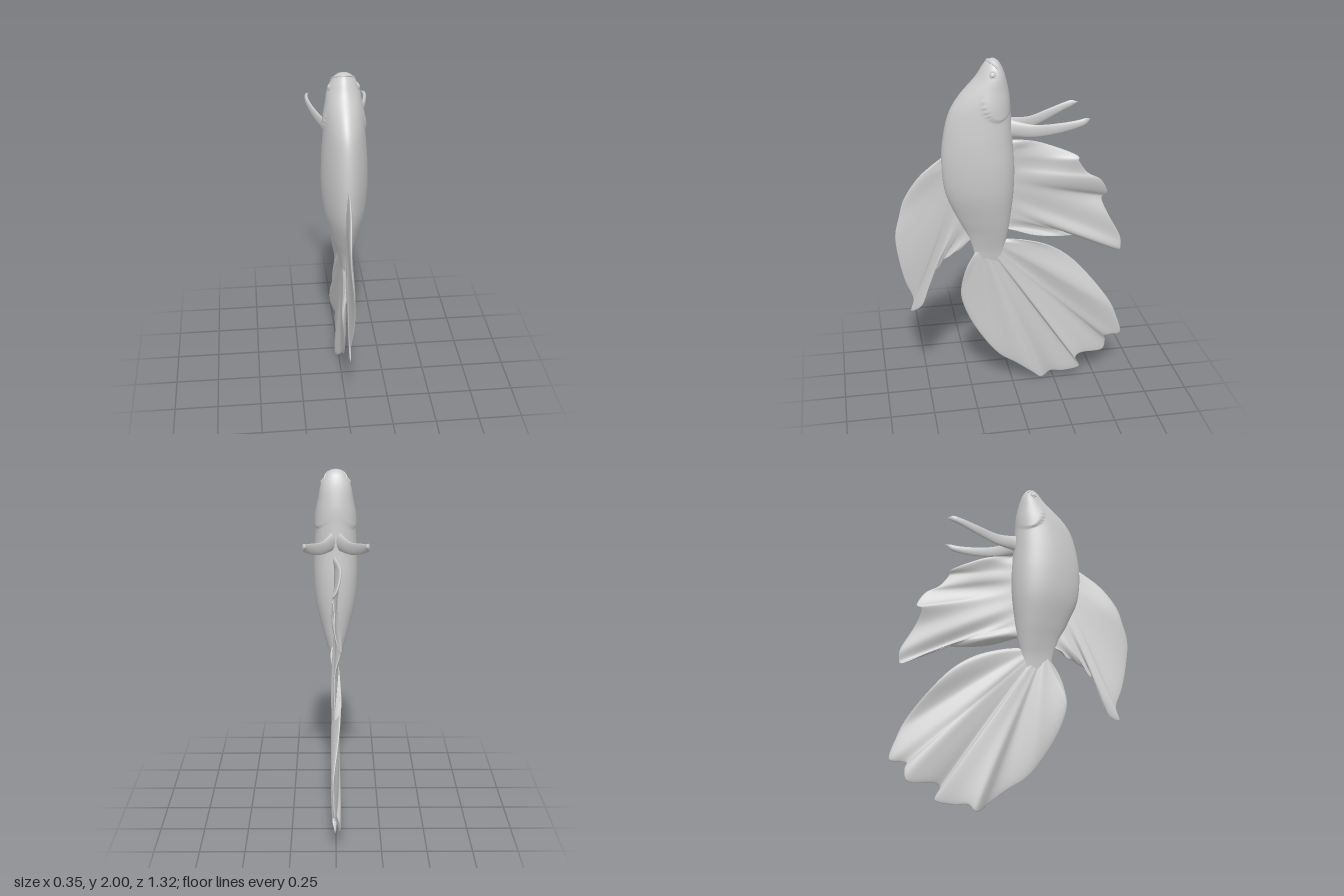
import * as THREE from 'three';
import { mergeVertices } from 'three/addons/utils/BufferGeometryUtils.js';

const grey = new THREE.MeshStandardMaterial({ color: 0xcccccc, side: THREE.DoubleSide });

// Smooth surface from a rule f(u, v) -> [x, y, z], turned to face outwards
function surface(nu, nv, f) {
  const pos = [], idx = [];
  for (let i = 0; i <= nu; i++)
    for (let j = 0; j <= nv; j++) pos.push(...f(i / nu, j / nv));
  for (let i = 0; i < nu; i++)
    for (let j = 0; j < nv; j++) {
      const a = i * (nv + 1) + j, b = a + nv + 1;
      idx.push(a, b, a + 1, b, b + 1, a + 1);
    }
  const P = (k) => new THREE.Vector3().fromArray(pos, k * 3);
  let volume = 0;
  for (let k = 0; k < idx.length; k += 3)
    volume += P(idx[k]).dot(P(idx[k + 1]).cross(P(idx[k + 2])));
  if (volume < 0) idx.reverse();
  let g = new THREE.BufferGeometry();
  g.setAttribute('position', new THREE.Float32BufferAttribute(pos, 3));
  g.setIndex(idx);
  g = mergeVertices(g, 1e-5);
  g.computeVertexNormals();
  return g;
}

function mesh(name, geometry) {
  const m = new THREE.Mesh(geometry, grey);
  m.name = name;
  return m;
}

const spline = (pts) => new THREE.SplineCurve(pts.map((p) => new THREE.Vector2(...p)));

// Body stations from snout to tail root: y, belly z, back z, half width
const stations = [
  [2.0, 0.11, 0.11, 0], [1.99, 0.085, 0.14, 0.032], [1.96, 0.062, 0.165, 0.06],
  [1.9, 0.04, 0.205, 0.085], [1.8, 0.02, 0.295, 0.1], [1.7, 0.013, 0.352, 0.108],
  [1.55, 0.004, 0.385, 0.119], [1.4, -0.006, 0.393, 0.122], [1.25, -0.002, 0.373, 0.11],
  [1.1, 0.015, 0.31, 0.077], [1.0, 0.03, 0.26, 0.05], [0.9, 0.05, 0.225, 0.024],
  [0.8, 0.06, 0.21, 0.008],
];
const sideCurve = spline(stations.map((s) => [s[0], s[3]]));
const depthCurve = spline(stations.map((s) => [s[1], s[2]]));

// Point on the body: t along the stations, a = 0 at the back, PI at the belly
function bodyPoint(t, a) {
  const s = sideCurve.getPoint(t), d = depthCurve.getPoint(t);
  const z = (d.x + d.y) / 2 + ((d.y - d.x) / 2) * Math.cos(a);
  // raised gill cover, fading out towards the eye
  const e = Math.hypot((z - 0.09) / 0.09, (s.x - 1.8) / 0.12);
  const gill = (1 - THREE.MathUtils.smoothstep(e, 0.93, 1.0)) *
    (1 - THREE.MathUtils.smoothstep(s.x, 1.72, 1.86));
  const x = (s.y * (1 - 0.25 * Math.cos(a)) * 0.98 + 0.009 * gill) * Math.sin(a);
  return [x, s.x, z];
}
const at = (station, a) => new THREE.Vector3(...bodyPoint(station / (stations.length - 1), a));

// Wavy fin fanned from a root line to an outline, both as [z, y]
function fin(name, root, outline, thick, wave) {
  const inner = spline(root), outer = spline(outline);
  return mesh(name, surface(160, 32, (u, v) => {
    const r = v === 1 ? 0 : Math.sin(v * Math.PI);
    const p = inner.getPoint(u).lerp(outer.getPoint(u), r);
    const ends = Math.min(1, Math.sqrt(Math.sin(Math.PI * u) * 4 + 1e-6));
    const half = thick * ends * Math.sqrt(Math.max(0, 1 - r ** 6)) * (v < 0.5 ? 1 : -1);
    return [wave(u, r) * ends + half, p.y, p.x];
  }));
}

// Arm-like belly fin: flattened oval sections along a curve
function pectoralFin(name, side) {
  const path = new THREE.CatmullRomCurve3([
    [0.015, 1.62, 0.04], [0.035, 1.615, -0.01], [0.075, 1.612, -0.1], [0.128, 1.637, -0.22],
    [0.16, 1.667, -0.32], [0.162, 1.68, -0.36], [0.146, 1.69, -0.393],
  ].map((p) => new THREE.Vector3(...p)));
  const size = spline([[0.055, 0.024], [0.045, 0.018], [0.035, 0.01], [0.029, 0.01],
    [0.022, 0.01], [0.018, 0.009], [0, 0]]);
  return mesh(name, surface(48, 20, (u, v) => {
    const c = path.getPoint(u), h = size.getPoint(u), a = v * Math.PI * 2;
    const t = path.getTangent(u);
    const across = new THREE.Vector3(-t.z, 0, t.x).normalize();
    c.addScaledVector(across, Math.cos(a) * h.y);
    return [c.x * side, c.y + Math.sin(a) * h.x, c.z];
  }));
}

export function createModel() {
  const fish = new THREE.Group();
  fish.name = 'fish';

  fish.add(mesh('body', surface(220, 64, (u, v) => bodyPoint(u ** 1.3, v * Math.PI * 2))));

  // Mouth line curving over the snout
  const mouth = new THREE.CatmullRomCurve3([
    at(2.2, 2.1), at(1.7, 1.75), at(1.2, 1.1), at(1, 0), at(1.2, -1.1), at(1.7, -1.75), at(2.2, -2.1),
  ]);
  fish.add(mesh('mouth', new THREE.TubeGeometry(mouth, 40, 0.005, 8)));

  for (const [label, side] of [['left', 1], ['right', -1]]) {
    // Eye with a rim
    const eye = new THREE.Group();
    eye.name = label + 'Eye';
    const ball = mesh('eyeball', new THREE.SphereGeometry(0.015, 20, 14));
    ball.scale.z = 0.6;
    eye.add(ball, mesh('eyeRim', new THREE.TorusGeometry(0.017, 0.004, 8, 24)));
    const p = at(2.6, 1.55 * side);
    eye.position.copy(p);
    eye.lookAt(p.x + side, p.y + 0.35, p.z);
    fish.add(eye);
    fish.add(pectoralFin(label + 'PectoralFin', side));
  }

  // Fin along the back
  fish.add(fin('dorsalFin', [[0.36, 1.45], [0.33, 1.3], [0.27, 1.12], [0.2, 0.98]], [
    [0.38, 1.475], [0.51, 1.37], [0.6, 1.24], [0.635, 1.13], [0.66, 1.015], [0.645, 0.87],
    [0.615, 0.735], [0.575, 0.62], [0.59, 0.54], [0.53, 0.57], [0.5, 0.655], [0.465, 0.76],
    [0.45, 0.795], [0.43, 0.795], [0.405, 0.845], [0.37, 0.87], [0.34, 0.895], [0.31, 0.905],
    [0.285, 0.935], [0.23, 0.965],
  ], 0.009, (u, r) => 0.009 * r * Math.sin(u * 22 + r * 2)));

  // Fin under the belly
  fish.add(fin('analFin', [[0.03, 1.53], [0.03, 1.35], [0.04, 1.15], [0.06, 1.01]], [
    [0.0, 1.545], [-0.075, 1.535], [-0.19, 1.5], [-0.355, 1.435], [-0.37, 1.4], [-0.42, 1.33],
    [-0.5, 1.28], [-0.545, 1.19], [-0.515, 1.155], [-0.55, 1.065], [-0.62, 0.935], [-0.63, 0.87],
    [-0.615, 0.835], [-0.54, 0.855], [-0.445, 0.91], [-0.365, 0.945], [-0.26, 0.95],
    [-0.125, 0.975], [-0.02, 1.015], [0.04, 1.02],
  ], 0.01, (u, r) => r * (0.018 * Math.sin(u * 20 + r * 3) + 0.008 * Math.sin(u * 43))));

  // Large veil tail
  fish.add(fin('tailFin', [[0.2, 0.9], [0.16, 0.9], [0.11, 0.91], [0.06, 0.95]], [
    [0.215, 0.89], [0.265, 0.8], [0.295, 0.68], [0.295, 0.58], [0.245, 0.445], [0.155, 0.295],
    [0.075, 0.2], [-0.02, 0.14], [-0.115, 0.065], [-0.17, 0.01], [-0.2, 0.01], [-0.235, 0.045],
    [-0.31, 0.045], [-0.4, 0.06], [-0.4, 0.095], [-0.38, 0.14], [-0.42, 0.16], [-0.55, 0.155],
    [-0.57, 0.22], [-0.56, 0.26], [-0.59, 0.27], [-0.655, 0.285], [-0.62, 0.41], [-0.575, 0.51],
    [-0.47, 0.655], [-0.34, 0.8], [-0.205, 0.895], [-0.075, 0.94], [0.03, 0.955],
  ], 0.013, (u, r) => r * (0.016 * Math.sin(u * 24 + r * 2) + 0.007 * Math.sin(u * 47 + 1))));

  return fish;
}
